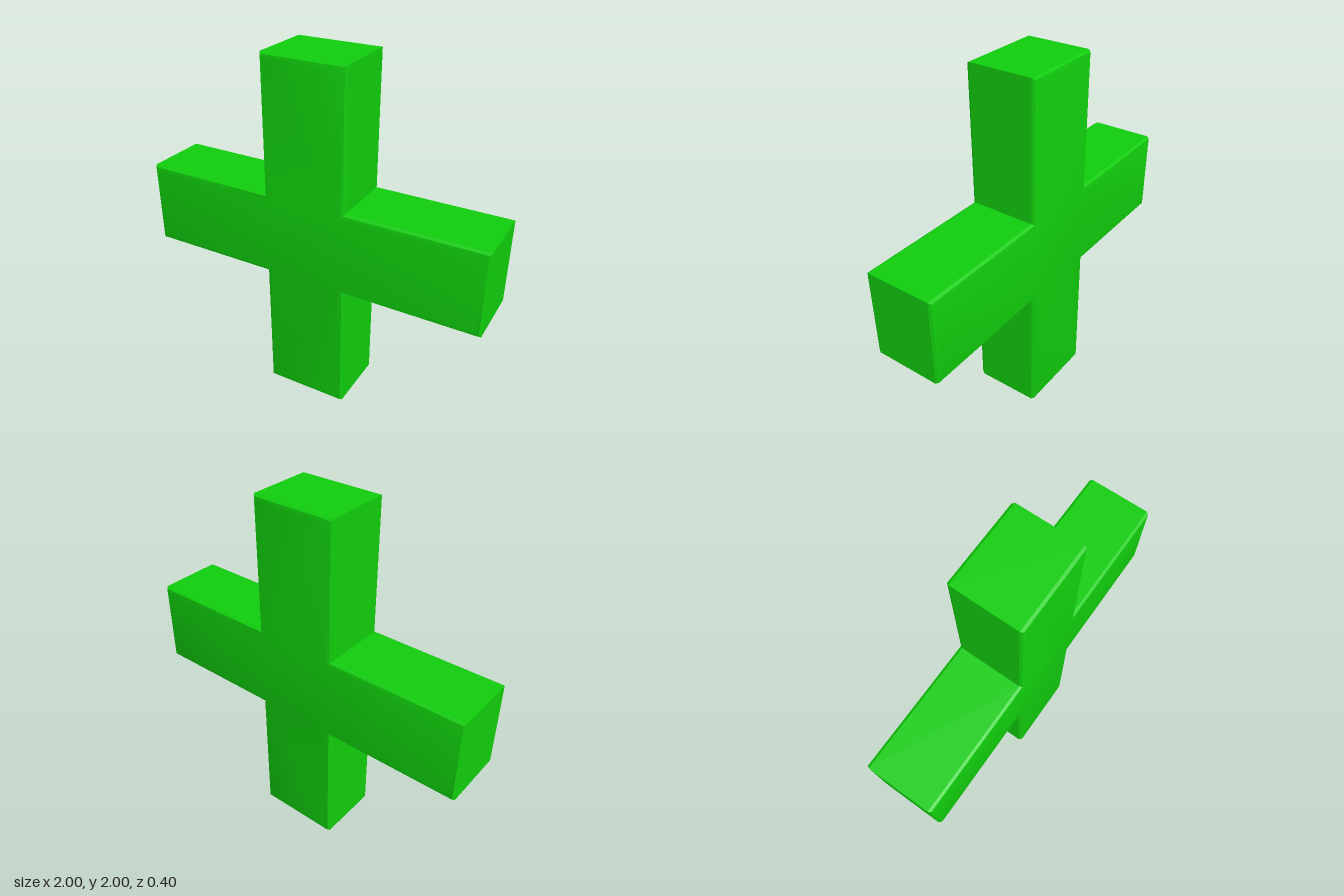
import * as THREE from 'three';
import { toCreasedNormals } from 'three/addons/utils/BufferGeometryUtils.js';

export function createModel() {
  const group = new THREE.Group();
  group.name = 'plusSign';

  const reach = 1, half = 0.24, depth = 0.4;
  const bevelThickness = 0.02, bevelSize = 0.03;

  // Outline: the three corners of one arm, repeated by quarter turns
  const points = [];
  for (let i = 0; i < 4; i++) {
    const arm = [[half, -half], [reach, -half], [reach, half]];
    for (const [x, y] of arm) {
      points.push(new THREE.Vector2(x, y).rotateAround(new THREE.Vector2(), i * Math.PI / 2));
    }
  }

  // Solid cross with rounded front and back rims, inset so the outline keeps its size
  const geometry = new THREE.ExtrudeGeometry(new THREE.Shape(points), {
    depth: depth - 2 * bevelThickness,
    bevelEnabled: true,
    bevelThickness,
    bevelSize,
    bevelOffset: -bevelSize,
    bevelSegments: 2,
  });
  geometry.translate(0, reach, bevelThickness - depth / 2);

  // Faces blend softly into the rim, side edges stay sharp
  const cross = new THREE.Mesh(
    toCreasedNormals(geometry, 0.5),
    new THREE.MeshStandardMaterial({ color: 0x10cc0c })
  );
  cross.name = 'cross';
  group.add(cross);
  return group;
}
